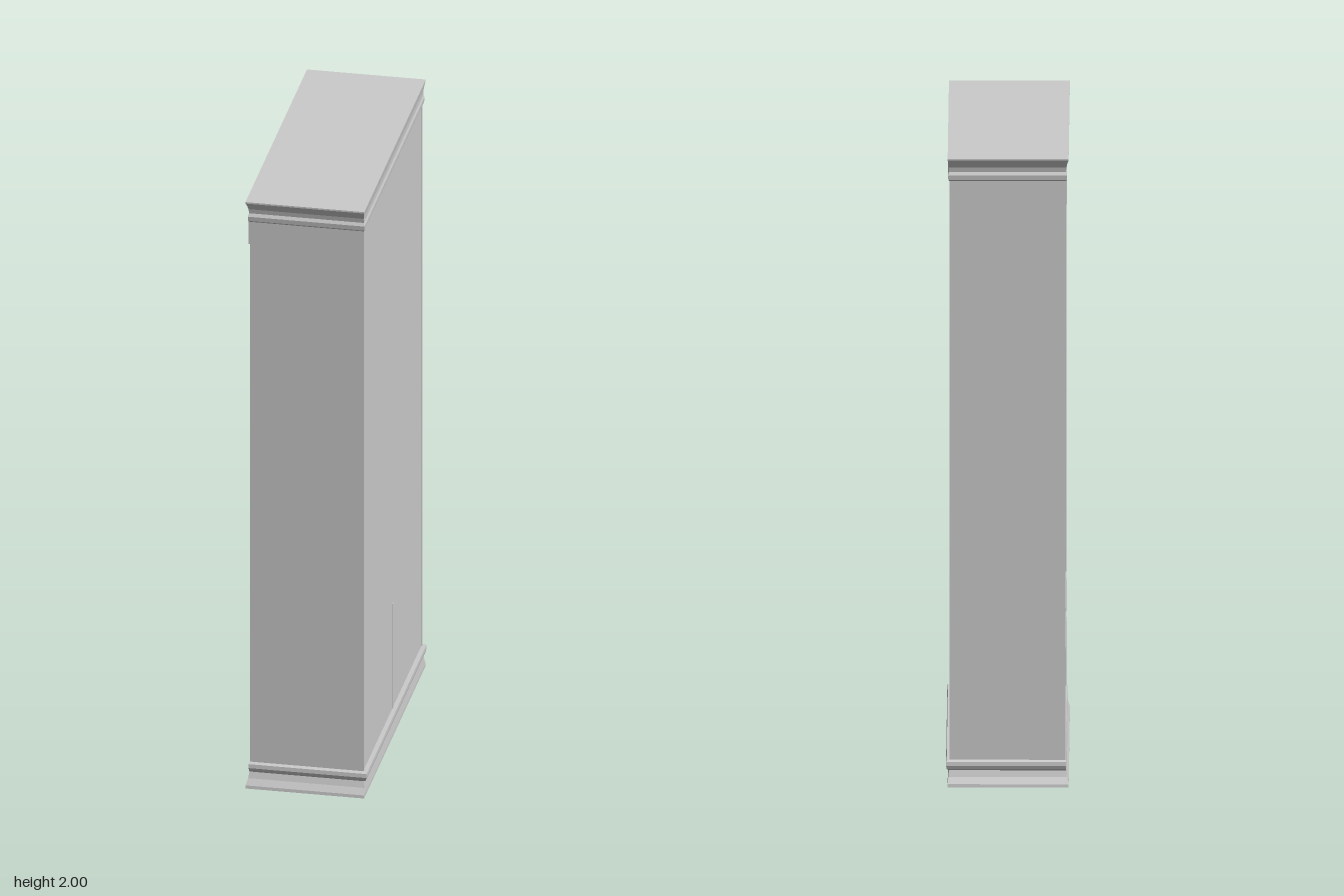
import * as THREE from 'three';

const material = new THREE.MeshStandardMaterial({ color: 0xcccccc, side: THREE.DoubleSide });

// Rectangular rings [y, xMin, xMax, zHalf], listed bottom to top, joined and capped.
function moulding(rings) {
  const pos = [];
  const corners = ([y, a, b, z]) => [[a, y, z], [b, y, z], [b, y, -z], [a, y, -z]];
  const quad = (a, b, c, d) => pos.push(...a, ...b, ...c, ...a, ...c, ...d);
  for (let i = 0; i < rings.length - 1; i++) {
    const lo = corners(rings[i]), hi = corners(rings[i + 1]);
    for (let k = 0; k < 4; k++) {
      const n = (k + 1) % 4;
      quad(lo[k], lo[n], hi[n], hi[k]);
    }
  }
  const [a, b, c, d] = corners(rings[0]);
  quad(d, c, b, a);
  quad(...corners(rings[rings.length - 1]));
  const geo = new THREE.BufferGeometry();
  geo.setAttribute('position', new THREE.Float32BufferAttribute(pos, 3));
  geo.computeVertexNormals();
  return geo;
}

export function createModel() {
  const group = new THREE.Group();
  const add = (name, geo) => {
    const mesh = new THREE.Mesh(geo, material);
    mesh.name = name;
    group.add(mesh);
    return mesh;
  };
  const box = (name, x0, x1, y0, y1, z0, z1) =>
    add(name, new THREE.BoxGeometry(x1 - x0, y1 - y0, z1 - z0))
      .position.set((x0 + x1) / 2, (y0 + y1) / 2, (z0 + z1) / 2);

  // Flared plinth and cornice
  add('plinth', moulding([
    [0, -0.19, 0.183, 0.487], [0.01, -0.19, 0.183, 0.486], [0.03, -0.184, 0.181, 0.474],
    [0.05, -0.181, 0.179, 0.468], [0.055, -0.182, 0.186, 0.472], [0.065, -0.182, 0.188, 0.476],
    [0.078, -0.182, 0.188, 0.475], [0.083, -0.181, 0.186, 0.469],
  ]));
  add('cornice', moulding([
    [1.925, -0.182, 0.179, 0.468], [1.93, -0.184, 0.181, 0.473], [1.945, -0.185, 0.182, 0.475],
    [1.955, -0.182, 0.179, 0.47], [1.97, -0.183, 0.179, 0.473], [1.985, -0.186, 0.181, 0.481],
    [1.995, -0.19, 0.183, 0.487], [2, -0.19, 0.183, 0.487],
  ]));

  // Side and back panels; the open side is -x
  for (const s of [-1, 1]) {
    const [z0, z1] = s > 0 ? [0.455, 0.466] : [-0.466, -0.455];
    box('sidePanel', -0.18, 0.178, 0.08, 1.93, z0, z1);
  }
  box('backPanel', 0.165, 0.176, 0.08, 1.93, -0.456, 0.456);

  // Shelves and the divider between the lower compartments
  box('topShelf', -0.145, 0.165, 1.633, 1.646, -0.455, 0.455);
  box('middleShelf', -0.179, 0.165, 0.431, 0.445, -0.455, 0.455);
  for (const s of [-1, 1]) {
    const [z0, z1] = s > 0 ? [0.006, 0.455] : [-0.455, -0.006];
    box('lowerShelf', -0.179, 0.165, 0.308, 0.32, z0, z1);
  }
  box('divider', -0.179, 0.178, 0.08, 0.44, -0.006, 0.006);

  // Hanging rod
  const rod = add('hangingRod', new THREE.CylinderGeometry(0.008, 0.008, 0.91, 16));
  rod.rotation.x = Math.PI / 2;
  rod.position.set(-0.05, 1.44, 0);

  // Scalloped valance under the cornice
  const half = [[0.465, 1.847], [0.4, 1.843], [0.3, 1.847], [0.22, 1.858], [0.16, 1.864],
    [0.12, 1.878], [0.06, 1.886]];
  const edge = [...half, [0, 1.889], ...half.map(([z, y]) => [-z, y]).reverse()];
  const shape = new THREE.Shape();
  shape.moveTo(-0.465, 1.94);
  shape.lineTo(0.465, 1.94);
  shape.lineTo(0.465, 1.847);
  shape.splineThru(edge.slice(1).map(([z, y]) => new THREE.Vector2(z, y)));
  shape.closePath();
  const valance = new THREE.ExtrudeGeometry(shape, { depth: 0.01, bevelEnabled: false, curveSegments: 32 });
  valance.rotateY(-Math.PI / 2);
  add('valance', valance).position.x = -0.174;

  return group;
}
